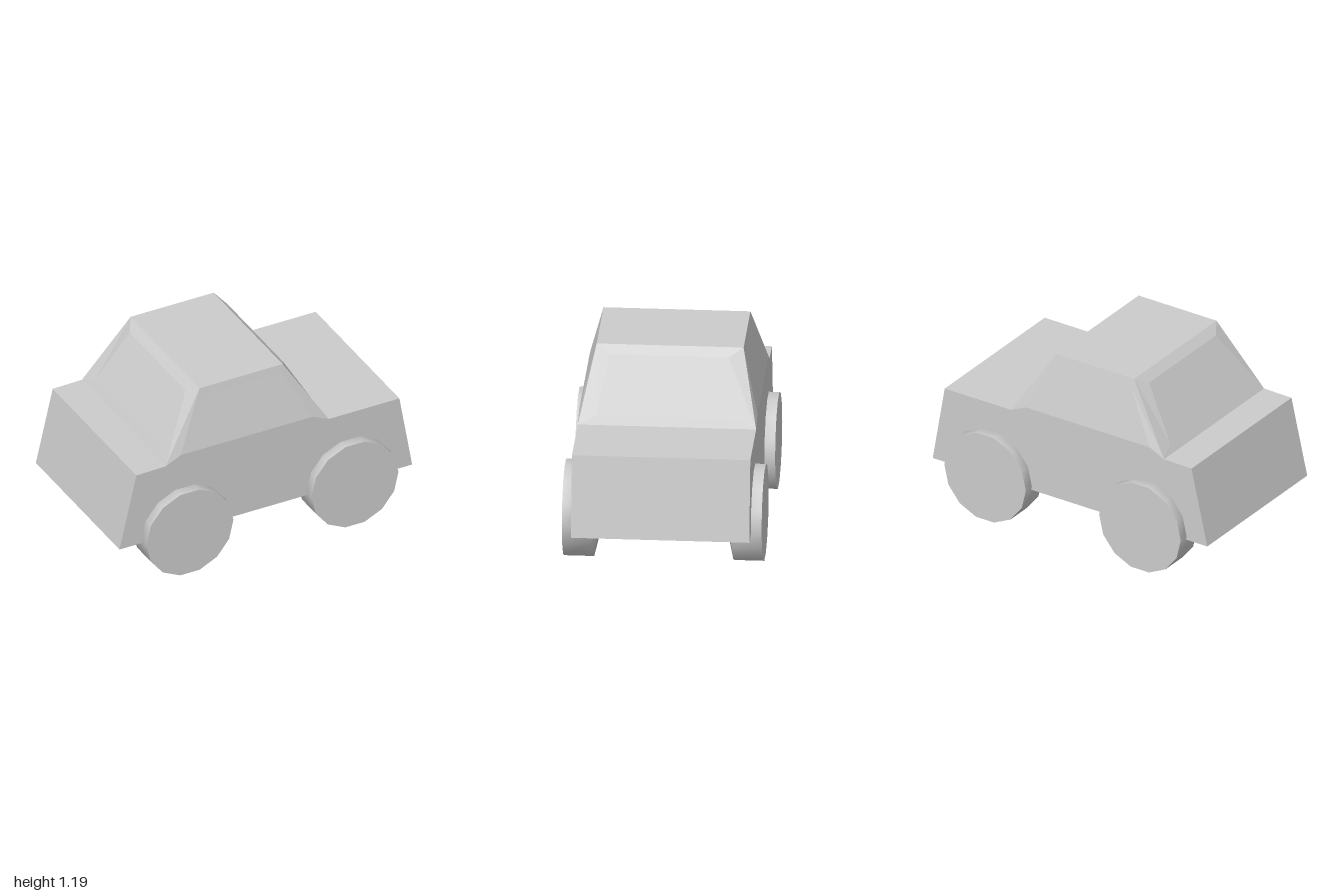
import * as THREE from 'three';

const flat = new THREE.MeshStandardMaterial({ color: 0xcccccc, flatShading: true });
const smooth = new THREE.MeshStandardMaterial({ color: 0xcccccc });

const HALF_WIDTH = 0.54, WELL_DEPTH = 0.38, SILL = 0.266, DECK = 0.77;
const AXLES = { rear: -0.553, front: 0.575 };

const shapeOf = (pts) => new THREE.Shape(pts.map(([x, y]) => new THREE.Vector2(x, y)));

function add(parent, name, geometry, material = flat) {
  const mesh = new THREE.Mesh(geometry, material);
  mesh.name = name;
  parent.add(mesh);
  return mesh;
}

function slab(pts, z0, z1) {
  const g = new THREE.ExtrudeGeometry(shapeOf(pts), { depth: z1 - z0, bevelEnabled: false });
  return g.translate(0, 0, z0);
}

// Half of a 14-sided arch, running from rear to front
function arch(cx) {
  return Array.from({ length: 8 }, (_, k) => {
    const a = Math.PI * (1 - k / 7);
    return [cx + 0.335 * Math.cos(a), SILL + 0.335 * Math.sin(a)];
  });
}

function makeBody() {
  const body = new THREE.Group();
  body.name = 'body';
  const upper = [[1, SILL], [0.913, DECK], [-0.68, DECK], [-0.885, 0.766]];
  add(body, 'bodyCentre', slab([[-1, SILL], ...upper], -WELL_DEPTH, WELL_DEPTH));

  // Side sections hollowed above the wheels
  const hollowed = [[-1, SILL], ...arch(AXLES.rear), ...arch(AXLES.front), ...upper];
  add(body, 'bodyLeftSide', slab(hollowed, WELL_DEPTH, HALF_WIDTH));
  add(body, 'bodyRightSide', slab(hollowed, -HALF_WIDTH, -WELL_DEPTH));

  // Flat outer skin closing each wheel well
  for (const [end, cx] of Object.entries(AXLES)) {
    const left = new THREE.ShapeGeometry(shapeOf(arch(cx)));
    add(body, end + 'LeftWellSkin', left.translate(0, 0, HALF_WIDTH));
    const right = new THREE.ShapeGeometry(shapeOf(arch(cx).map(([x, y]) => [-x, y])));
    add(body, end + 'RightWellSkin', right.rotateY(Math.PI).translate(0, 0, -HALF_WIDTH));
  }
  return body;
}

function makeCabin() {
  const tris = [];
  // Corners run counter-clockwise seen from outside
  const quad = (a, b, c, d) => tris.push(...a, ...b, ...c, ...a, ...c, ...d);
  // A face with a slightly raised panel inside a chamfered border
  const panelled = (outer, inner) => {
    quad(...inner);
    for (let i = 0; i < 4; i++) {
      const j = (i + 1) % 4;
      quad(outer[i], outer[j], inner[j], inner[i]);
    }
  };
  const H = 1.193, W = HALF_WIDTH, T = 0.445;
  const mirrorZ = (pts) => pts.map(([x, y, z]) => [x, y, -z]).reverse();

  // Side windows
  const side = [[-0.685, DECK, W], [0.43, DECK, W], [0.165, H, T], [-0.403, H, T]];
  const sidePane = [[-0.58, 0.82, W], [0.32, 0.82, W], [0.15, 1.14, 0.458], [-0.39, 1.14, 0.458]];
  panelled(side, sidePane);
  panelled(mirrorZ(side), mirrorZ(sidePane));

  // Windscreen and rear window
  panelled(
    [[0.43, DECK, W], [0.43, DECK, -W], [0.165, H, -T], [0.165, H, T]],
    [[0.402, 0.82, 0.43], [0.402, 0.82, -0.43], [0.214, 1.145, -0.36], [0.214, 1.145, 0.36]]);
  panelled(
    [[-0.685, DECK, -W], [-0.685, DECK, W], [-0.403, H, T], [-0.403, H, -T]],
    [[-0.655, 0.82, -0.43], [-0.655, 0.82, 0.43], [-0.455, 1.145, 0.36], [-0.455, 1.145, -0.36]]);

  // Roof
  quad([-0.403, H, T], [0.165, H, T], [0.165, H, -T], [-0.403, H, -T]);

  const g = new THREE.BufferGeometry();
  g.setAttribute('position', new THREE.Float32BufferAttribute(tris, 3));
  g.computeVertexNormals();
  return g;
}

// Two wheels joined by an axle, turned as one piece
function makeWheelPair(end, x) {
  const pair = new THREE.Group();
  pair.name = end + 'WheelPair';
  const R = 0.297, OUT = 0.605;
  const half = [[R, OUT], [R, 0.425], [0.108, 0.38]];
  const profile = [...half.map(([r, z]) => [r, -z]), ...half.slice().reverse()]
    .map(([r, z]) => new THREE.Vector2(r, z));
  const turned = new THREE.LatheGeometry(profile, 14, Math.PI / 2);
  add(pair, end + 'WheelsAndAxle', turned.rotateX(Math.PI / 2), smooth);
  add(pair, end + 'LeftHubFace', new THREE.CircleGeometry(R, 14).translate(0, 0, OUT));
  add(pair, end + 'RightHubFace', new THREE.CircleGeometry(R, 14).rotateY(Math.PI).translate(0, 0, -OUT));
  pair.position.set(x, 0.29, 0);
  return pair;
}

export function createModel() {
  const car = new THREE.Group();
  car.name = 'car';
  car.add(makeBody());
  add(car, 'cabin', makeCabin());
  for (const [end, x] of Object.entries(AXLES)) car.add(makeWheelPair(end, x));
  return car;
}
